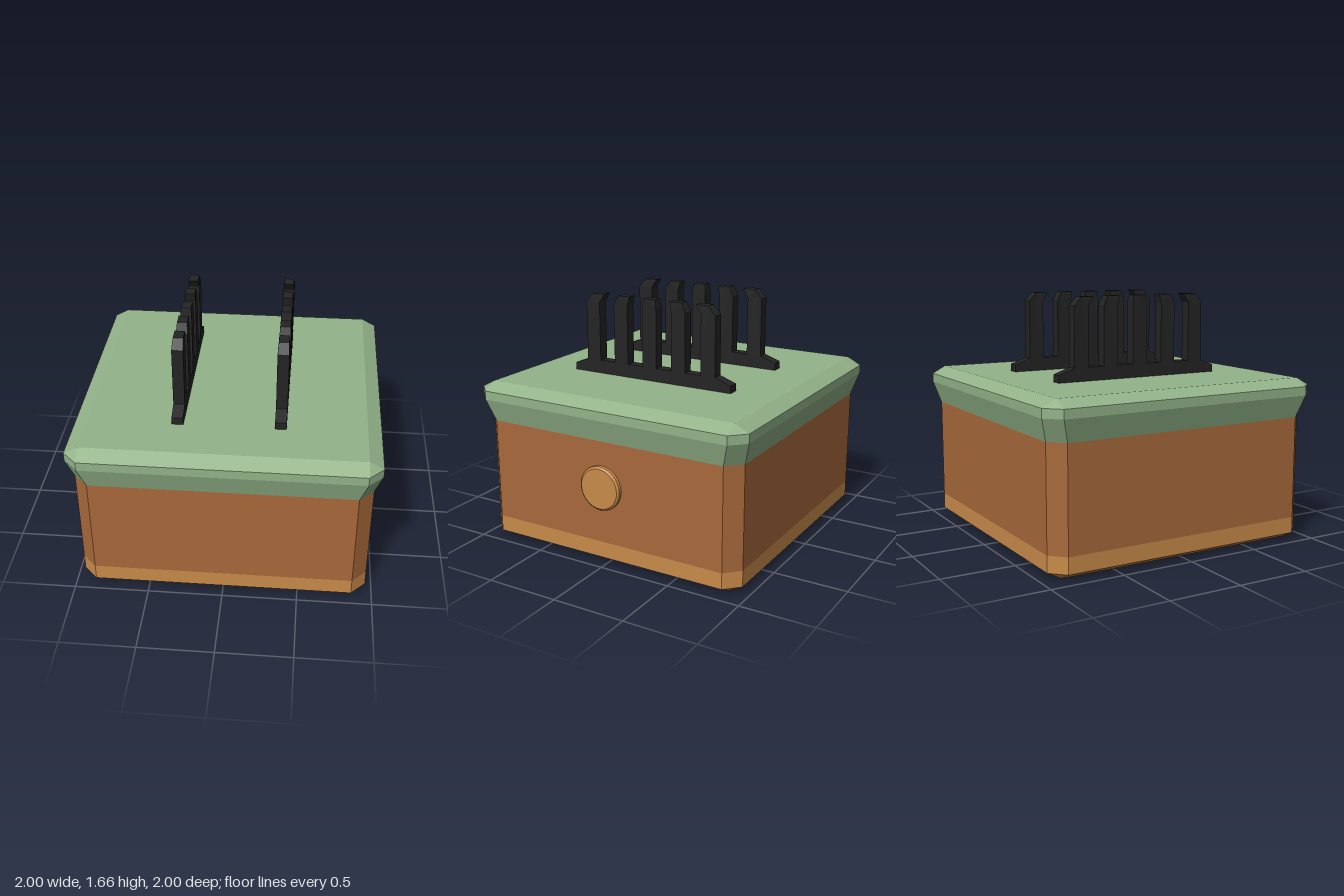
import * as THREE from 'three';

const material = (color) => new THREE.MeshStandardMaterial({ color, flatShading: true });

function addMesh(parent, name, geometry, mat) {
  const mesh = new THREE.Mesh(geometry, mat);
  mesh.name = name;
  parent.add(mesh);
  return mesh;
}

// Stack of square rings with cut corners: [y, half width, half length of the flat side]
function chamferedLoft(rings, capBottom, capTop) {
  const loops = rings.map(([y, a, b]) =>
    [[a, -b], [a, b], [b, a], [-b, a], [-a, b], [-a, -b], [-b, -a], [b, -a]]
      .map(([x, z]) => new THREE.Vector3(x, y, z)));
  const positions = [];
  const tri = (p, q, r) => {
    if (p.equals(q) || q.equals(r) || r.equals(p)) return;
    for (const v of [p, q, r]) positions.push(v.x, v.y, v.z);
  };
  for (let k = 0; k < loops.length - 1; k++) {
    const low = loops[k], high = loops[k + 1];
    for (let i = 0; i < 8; i++) {
      const j = (i + 1) % 8;
      tri(low[i], high[i], low[j]);
      tri(low[j], high[i], high[j]);
    }
  }
  const cap = (loop, up) => {
    const centre = new THREE.Vector3(0, loop[0].y, 0);
    loop.forEach((p, i) => {
      const q = loop[(i + 1) % 8];
      if (up) tri(centre, q, p); else tri(centre, p, q);
    });
  };
  if (capBottom) cap(loops[0], false);
  if (capTop) cap(loops[loops.length - 1], true);
  const geometry = new THREE.BufferGeometry();
  geometry.setAttribute('position', new THREE.Float32BufferAttribute(positions, 3));
  geometry.computeVertexNormals();
  return geometry;
}

// Comb outline in z and y: a low foot carrying five prongs that lean to the middle
function prongPlate(width) {
  const shape = new THREE.Shape();
  shape.moveTo(-0.605, 1.105);
  shape.lineTo(0.605, 1.105);
  shape.lineTo(0.605, 1.16);
  shape.lineTo(0.5, 1.2);
  for (const z of [0.45, 0.228, 0.004, -0.217, -0.438]) {
    const tip = z * 0.895;
    shape.lineTo(z + 0.053, 1.2);
    shape.lineTo(z + 0.053, 1.6);
    shape.lineTo(tip + 0.045, 1.66);
    shape.lineTo(tip - 0.045, 1.66);
    shape.lineTo(z - 0.053, 1.6);
    shape.lineTo(z - 0.053, 1.2);
  }
  shape.lineTo(-0.605, 1.16);
  shape.closePath();
  const geometry = new THREE.ExtrudeGeometry(shape, { depth: width, bevelEnabled: false });
  geometry.translate(0, 0, -width / 2).rotateY(-Math.PI / 2);
  // Narrow the prong tips slightly
  const pos = geometry.attributes.position;
  for (let i = 0; i < pos.count; i++) {
    if (pos.getY(i) > 1.65) pos.setX(i, pos.getX(i) * 0.88);
  }
  geometry.computeVertexNormals();
  return geometry;
}

export function createModel() {
  const model = new THREE.Group();
  model.name = 'boxWithProngs';
  const brown = material(0xa8693b);
  const orange = material(0xc98b4a);
  const green = material(0x93b389);
  const black = material(0x242424);

  // Box
  addMesh(model, 'baseTrim',
    chamferedLoft([[0, 0.86, 0.86], [0.05, 0.955, 0.86], [0.16, 0.955, 0.86]], true, false), orange);
  addMesh(model, 'body', chamferedLoft([[0.16, 0.955, 0.86], [0.85, 0.955, 0.86]]), brown);
  addMesh(model, 'lid', chamferedLoft(
    [[0.85, 0.955, 0.86], [1.0, 1, 0.905], [1.06, 1, 0.905], [1.11, 0.905, 0.905]], false, true), green);

  // Prongs
  const plate = prongPlate(0.075);
  addMesh(model, 'rightProngs', plate, black).position.x = -0.317;
  addMesh(model, 'leftProngs', plate, black).position.x = 0.348;

  // Round button on the left side
  const profile = [[0, 0], [0.148, 0], [0.148, 0.034], [0.135, 0.045], [0, 0.045]]
    .map(([r, y]) => new THREE.Vector2(r, y));
  const button = addMesh(model, 'button', new THREE.LatheGeometry(profile, 32), orange);
  button.rotation.z = -Math.PI / 2;
  button.position.set(0.945, 0.54, 0.01);

  return model;
}
